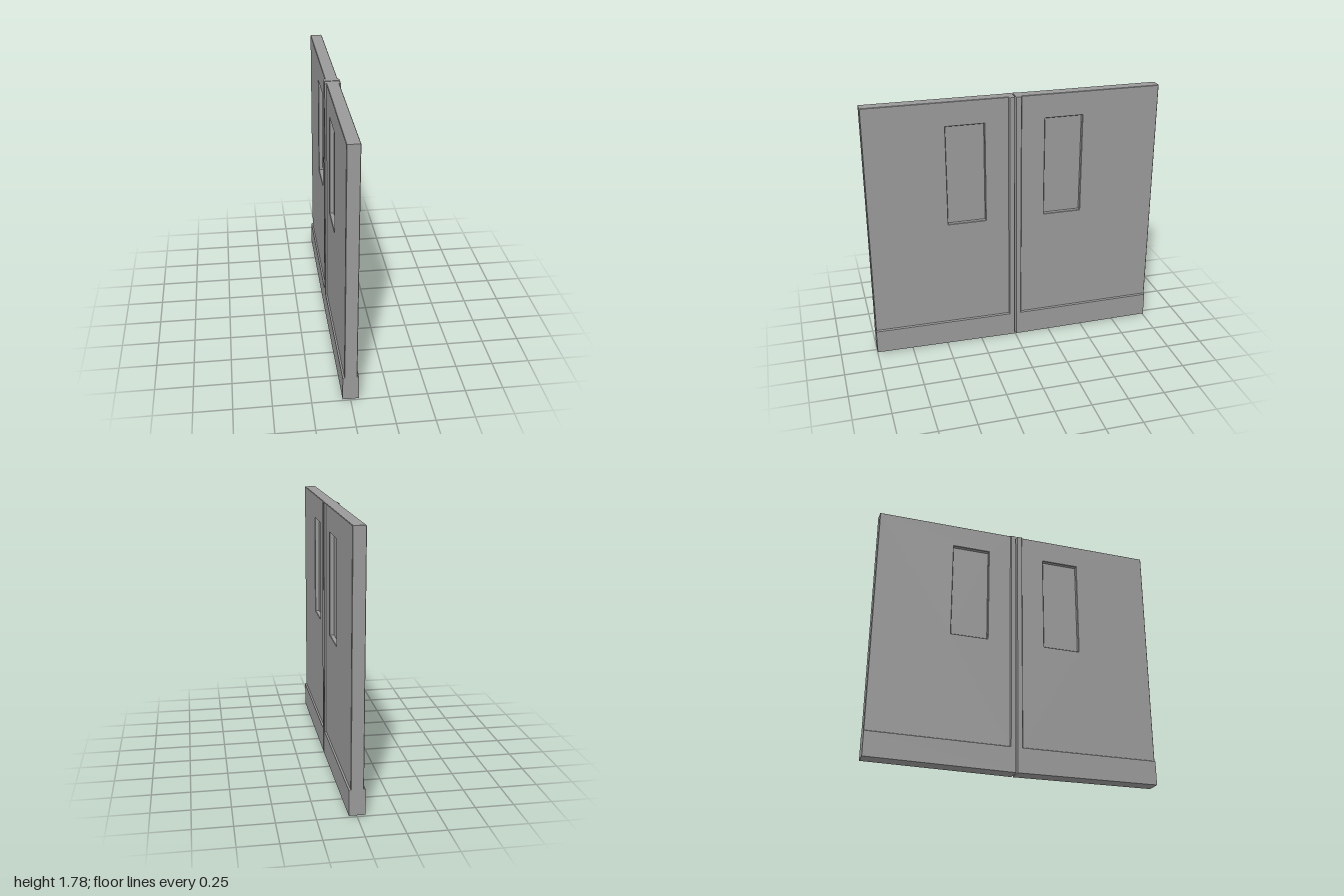
import * as THREE from 'three';

const TOP = 1.785, END = 1, GAP = 0.004, STILE = 0.045, KICK = 0.18;
const FACE = 0.041, TRIM = 0.052, CHAMFER = 0.006;

const polygon = (pts) => new THREE.Shape(pts.map(([z, y]) => new THREE.Vector2(z, y)));

// Panel with a window opening, drawn in (z, y) and extruded through the thickness
function panelGeometry() {
  const b = 0.003;
  const shape = polygon([[STILE - 0.01, KICK - 0.02], [END, KICK - 0.02], [END, TOP], [STILE - 0.01, TOP]]);
  shape.holes.push(new THREE.Path([[0.205, 0.93], [0.205, 1.62], [0.465, 1.62], [0.465, 0.93]]
    .map(([z, y]) => new THREE.Vector2(z, y))));
  const g = new THREE.ExtrudeGeometry(shape, {
    depth: 2 * (FACE - b), bevelThickness: b, bevelSize: b, bevelOffset: -b, bevelSegments: 1,
  });
  g.translate(0, 0, -(FACE - b));
  return g.rotateY(-Math.PI / 2);
}

// Thicker L-shaped trim: meeting stile and kick plate, inner edges chamfered
function trimGeometry() {
  const shape = polygon([[GAP, 0], [END, 0.01], [END, KICK + 0.002], [STILE, KICK - 0.003], [STILE, TOP], [GAP, TOP]]);
  const g = new THREE.ExtrudeGeometry(shape, { depth: 3, steps: 3, bevelEnabled: false });
  const layers = [-TRIM, -FACE, FACE, TRIM];
  const p = g.attributes.position;
  for (let i = 0; i < p.count; i++) {
    const layer = Math.round(p.getZ(i)), z = p.getX(i), y = p.getY(i);
    p.setZ(i, layers[layer]);
    if (layer === 0 || layer === 3) {
      if (Math.abs(z - STILE) < 1e-4) p.setX(i, z - CHAMFER);
      if (Math.abs(y - KICK) < 0.01) p.setY(i, y - CHAMFER);
      if (y > TOP - 1e-4) p.setY(i, y - 0.003);
      if (Math.abs(z - GAP) < 1e-4) p.setX(i, z + 0.003);
    }
  }
  g.computeVertexNormals();
  return g.rotateY(-Math.PI / 2);
}

export function createModel() {
  const model = new THREE.Group();
  model.name = 'doubleDoor';
  const grey = new THREE.MeshStandardMaterial({ color: 0x999999 });
  grey.name = 'doorGrey';

  const panel = panelGeometry();
  const trim = trimGeometry();
  const pane = new THREE.BoxGeometry(0.026, 0.71, 0.28).translate(0, 1.275, 0.335);

  // The two leaves are the same, turned half round
  ['frontLeaf', 'backLeaf'].forEach((name, i) => {
    const leaf = new THREE.Group();
    leaf.name = name;
    for (const [part, geometry] of [['panel', panel], ['stileAndKickPlate', trim], ['windowPane', pane]]) {
      const mesh = new THREE.Mesh(geometry, grey);
      mesh.name = part;
      leaf.add(mesh);
    }
    leaf.rotation.y = i * Math.PI;
    model.add(leaf);
  });
  return model;
}
